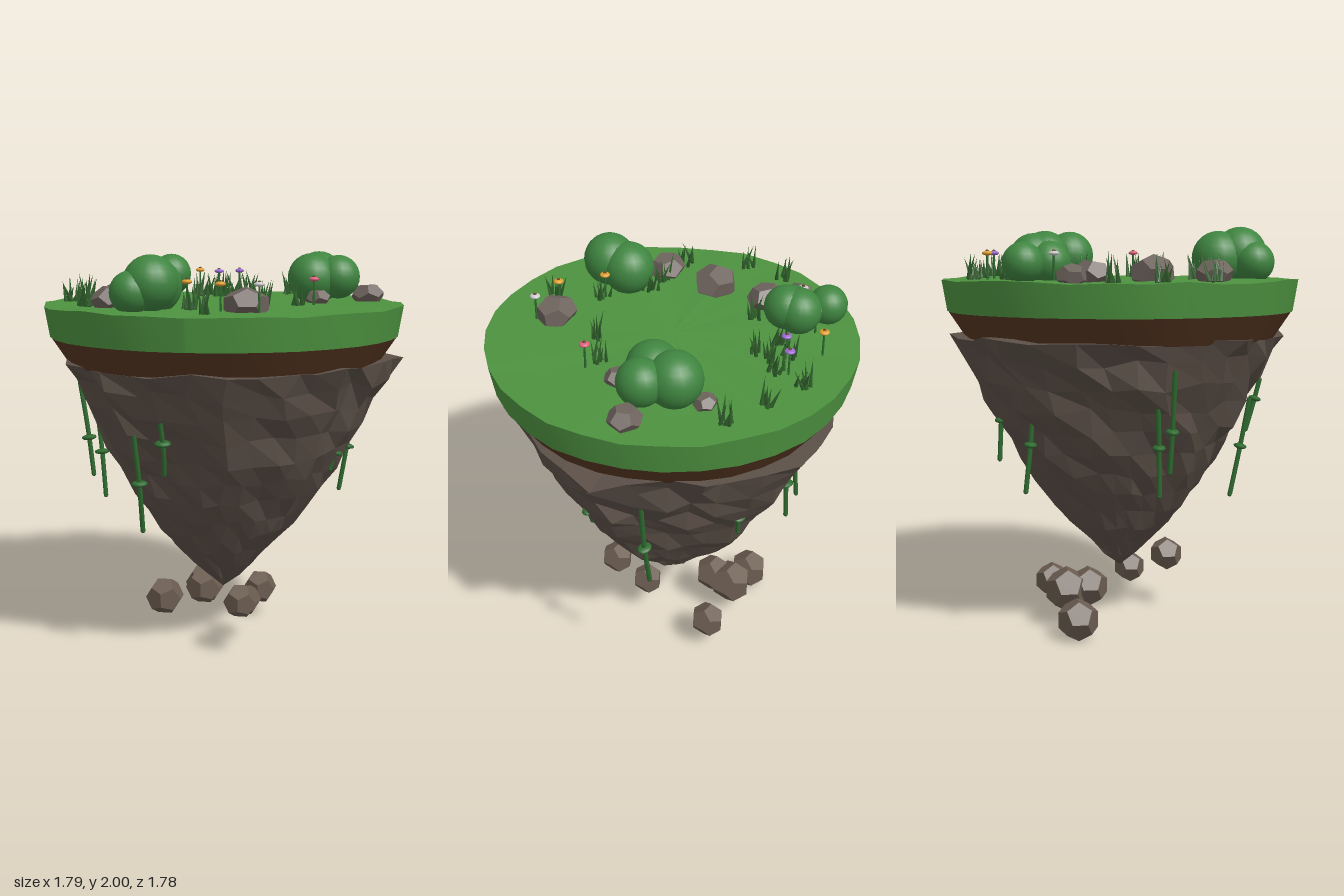
import * as THREE from 'three';

const CX = -0.02;   // island axis
const TOP = 1.75;   // lawn height

const paint = (color, flatShading = false) => new THREE.MeshStandardMaterial({ color, flatShading });
const MAT = {
  grass: paint(0x4d9240), dirt: paint(0x573722), rock: paint(0x5c5048, true),
  stone: paint(0x6f645e, true), debris: paint(0x6b5c50, true), bush: paint(0x3f8540),
  blade: paint(0x2f5f2a), vine: paint(0x2f6b30), core: paint(0x5a3a1a),
  orange: paint(0xe0a030), purple: paint(0x9a6ad0), white: paint(0xe8e8e8), pink: paint(0xe06080),
};

// repeatable noise in -1..1
const noise = (a, b = 0) => {
  const s = Math.sin(a * 127.1 + b * 311.7) * 43758.5453;
  return 2 * (s - Math.floor(s)) - 1;
};

function add(parent, name, geometry, material, x = 0, y = 0, z = 0) {
  const mesh = new THREE.Mesh(geometry, material);
  mesh.name = name;
  mesh.position.set(x, y, z);
  parent.add(mesh);
  return mesh;
}

function group(parent, name, x = 0, y = 0, z = 0) {
  const g = new THREE.Group();
  g.name = name;
  g.position.set(x, y, z);
  parent.add(g);
  return g;
}

// lathe whose vertices are moved by rule(segment, ring, angle, radius, y) -> [radius, y, twist]
function roughLathe(profile, segments, rule) {
  const geo = new THREE.LatheGeometry(profile.map(p => new THREE.Vector2(...p)), segments);
  const pos = geo.attributes.position, n = profile.length;
  for (let i = 0; i <= segments; i++) {
    for (let j = 0; j < n; j++) {
      const a = (i % segments) / segments * Math.PI * 2;
      const [r, y, t] = rule(i % segments, j, a, ...profile[j]);
      pos.setXYZ(i * n + j, r * Math.sin(a + t), y, r * Math.cos(a + t));
    }
  }
  geo.computeVertexNormals();
  return geo;
}

function buildGround(root) {
  // grass slab and the soil band below it; doubled points keep the rims sharp
  const wobble = (i, j, a, r, y) => [r * (1 + 0.006 * noise(i, 5)), y + (y > 1.7 && r > 0 ? 0.008 * noise(i, 9) : 0), 0];
  add(root, 'grassSlab', roughLathe([[0, 1.59], [0.865, 1.59], [0.865, 1.59], [0.89, 1.745], [0.89, 1.745], [0, TOP]],
    32, wobble), MAT.grass, CX);
  add(root, 'soilBand', roughLathe([[0, 1.46], [0.775, 1.46], [0.775, 1.46], [0.862, 1.592], [0.862, 1.592], [0, 1.592]],
    32, wobble), MAT.dirt, CX);

  // hanging rock cone, with a few broad buttresses that reach past the rim
  const profile = [[0.004, 0.27], [0.08, 0.335], [0.155, 0.415], [0.245, 0.51], [0.33, 0.61], [0.4, 0.71], [0.468, 0.82],
    [0.532, 0.93], [0.592, 1.04], [0.645, 1.15], [0.7, 1.27], [0.75, 1.38], [0.8, 1.475], [0, 1.48]];
  const ribs = [[1.7, 0.1], [2.95, 0.06], [4.0, 0.07], [0.15, 0.05]];
  const last = profile.length - 1;
  add(root, 'rockCone', roughLathe(profile, 32, (i, j, a, r, y) => {
    if (j === 0 || j === last) return [r, y, 0];
    const k = r / 0.8;
    let bulge = 0.03 * noise(i, j) + 0.015 * noise(i, 40);
    for (const [angle, size] of ribs) bulge += size * Math.exp(-(((a - angle) / 0.3) ** 2)) * k;
    const dy = j === last - 1 ? 0.015 * noise(i, 70) : 0.03 * noise(i, j + 20) * k;
    return [r + bulge * (0.25 + 0.75 * k), y + dy, 0.05 * noise(i, j + 60)];
  }), MAT.rock, CX);
}

function buildBushes(root) {
  const bushes = [
    [[-0.25, 1.87, 0.56, 0.13], [-0.26, 1.85, 0.45, 0.13], [-0.33, 1.83, 0.61, 0.1]],
    [[0.42, 1.86, -0.34, 0.13], [0.53, 1.865, -0.24, 0.11], [0.4, 1.86, -0.21, 0.125]],
    [[-0.57, 1.83, -0.52, 0.095], [-0.4, 1.855, -0.46, 0.11], [-0.46, 1.83, -0.39, 0.1], [-0.38, 1.865, -0.4, 0.105]],
  ];
  for (const balls of bushes) {
    const g = group(root, 'bush');
    for (const [x, y, z, r] of balls) add(g, 'foliage', new THREE.SphereGeometry(r, 20, 14), MAT.bush, x, y, z);
  }
}

function buildStones(root) {
  // squat stones on the lawn: x, z, radius
  [[-0.66, -0.31, 0.08], [-0.525, -0.2, 0.1], [-0.5, 0.085, 0.12], [-0.49, 0.38, 0.1], [0.19, 0.54, 0.11],
    [0.45, -0.045, 0.065], [0.37, -0.47, 0.06], [0.68, -0.27, 0.085]].forEach(([x, z, r], i) => {
    const geo = new THREE.DodecahedronGeometry(r);
    geo.rotateX(noise(i, 1) * 3).rotateY(noise(i, 2) * 3).scale(1, 0.72, 0.92);
    add(root, 'stone', geo, MAT.stone, x, TOP + r * 0.28, z);
  });
  // loose chunks floating under the tip
  [[-0.4, 0.1, -0.26, 0.105], [-0.17, 0.19, -0.29, 0.115], [-0.16, 0.2, -0.18, 0.1], [0.12, 0.28, 0.27, 0.088],
    [0.11, 0.22, 0.07, 0.082], [0.12, 0.16, -0.34, 0.092]].forEach(([x, y, z, r]) => {
    add(root, 'looseChunk', new THREE.DodecahedronGeometry(r), MAT.debris, x, y, z);
  });
}

function buildPlants(root) {
  // grass tufts: thin splayed blades
  [[-0.01, -0.73], [0.21, -0.67], [0.42, -0.62], [-0.2, -0.55], [-0.12, -0.4], [-0.11, -0.5], [-0.04, -0.56],
    [-0.24, -0.45], [-0.37, -0.25], [-0.78, -0.14], [-0.78, 0.075], [-0.63, 0.365], [-0.41, 0.35], [-0.28, 0.33],
    [0.37, 0.125], [0.23, 0.26], [0.02, 0.69], [-0.09, 0.49]].forEach(([x, z], i) => {
    const tuft = group(root, 'grassTuft', x, TOP - 0.005, z);
    for (let b = 0; b < 7; b++) {
      const h = 0.11 + 0.035 * noise(i, b);
      const geo = new THREE.ConeGeometry(0.011, h, 4).translate(0, h / 2, 0);
      const blade = add(tuft, 'blade', geo, MAT.blade, 0.032 * noise(i, b + 10), 0, 0.032 * noise(i, b + 20));
      blade.rotation.set(0.35 * noise(i, b + 30), 0, 0.35 * noise(i, b + 40));
    }
  });

  // flowers: stem, petal disc, dark centre
  [[-0.28, -0.67, 'orange'], [-0.15, -0.55, 'purple'], [-0.05, -0.63, 'purple'], [-0.57, -0.38, 'white'],
    [-0.43, -0.54, 'pink'], [-0.1, 0.47, 'orange'], [0.085, 0.61, 'orange'], [0.26, 0.605, 'white'],
    [0.45, 0.14, 'pink']].forEach(([x, z, color]) => {
    const flower = group(root, 'flower', x, TOP, z);
    add(flower, 'stem', new THREE.CylinderGeometry(0.005, 0.006, 0.12, 6), MAT.vine, 0, 0.06);
    add(flower, 'petals', new THREE.SphereGeometry(0.025, 12, 8).scale(1, 0.45, 1), MAT[color], 0, 0.123);
    add(flower, 'flowerCentre', new THREE.SphereGeometry(0.01, 8, 6), MAT.core, 0, 0.13);
  });
}

function buildVines(root) {
  // top point, bottom point, position of the leaf along the vine
  [[[-0.73, 1.35, 0.15], [-0.67, 0.87, 0.14], 0.6], [[-0.67, 1.25, 0.08], [-0.62, 0.75, 0.1], 0.54],
    [[-0.33, 1.17, 0.6], [-0.315, 0.685, 0.51], 0.5], [[-0.18, 1.25, 0.69], [-0.18, 0.99, 0.62], 0.4],
    [[0.62, 1.26, -0.3], [0.55, 0.75, -0.29], 0.55], [[-0.44, 1.2, -0.47], [-0.43, 0.75, -0.51], 0.5],
    [[-0.15, 1.25, -0.61], [-0.14, 0.86, -0.62], 0.5], [[0.2, 1.15, -0.58], [0.19, 0.94, -0.55], 0.5],
    [[0.57, 1.1, 0.06], [0.535, 0.93, 0.07], 0.5]]
    .forEach(([a, b, t]) => {
      const vine = group(root, 'vine');
      const from = new THREE.Vector3(...a), to = new THREE.Vector3(...b);
      const mid = from.clone().lerp(to, 0.5).add(new THREE.Vector3(0.006, 0, 0.004));
      const curve = new THREE.CatmullRomCurve3([from, mid, to]);
      add(vine, 'vineStem', new THREE.TubeGeometry(curve, 8, 0.012, 7), MAT.vine);
      const p = curve.getPoint(t), dir = from.clone().sub(to).normalize();
      add(vine, 'vineTip', new THREE.SphereGeometry(0.012, 7, 5), MAT.vine, ...b);
      const leaf = add(vine, 'vineLeaf', new THREE.SphereGeometry(0.04, 10, 6).scale(1, 0.35, 0.8), MAT.vine, p.x, p.y, p.z);
      leaf.quaternion.setFromUnitVectors(new THREE.Vector3(0, 1, 0), dir);
    });
}

export function createModel() {
  const root = new THREE.Group();
  root.name = 'floatingIsland';
  buildGround(root);
  buildBushes(root);
  buildStones(root);
  buildPlants(root);
  buildVines(root);
  return root;
}
